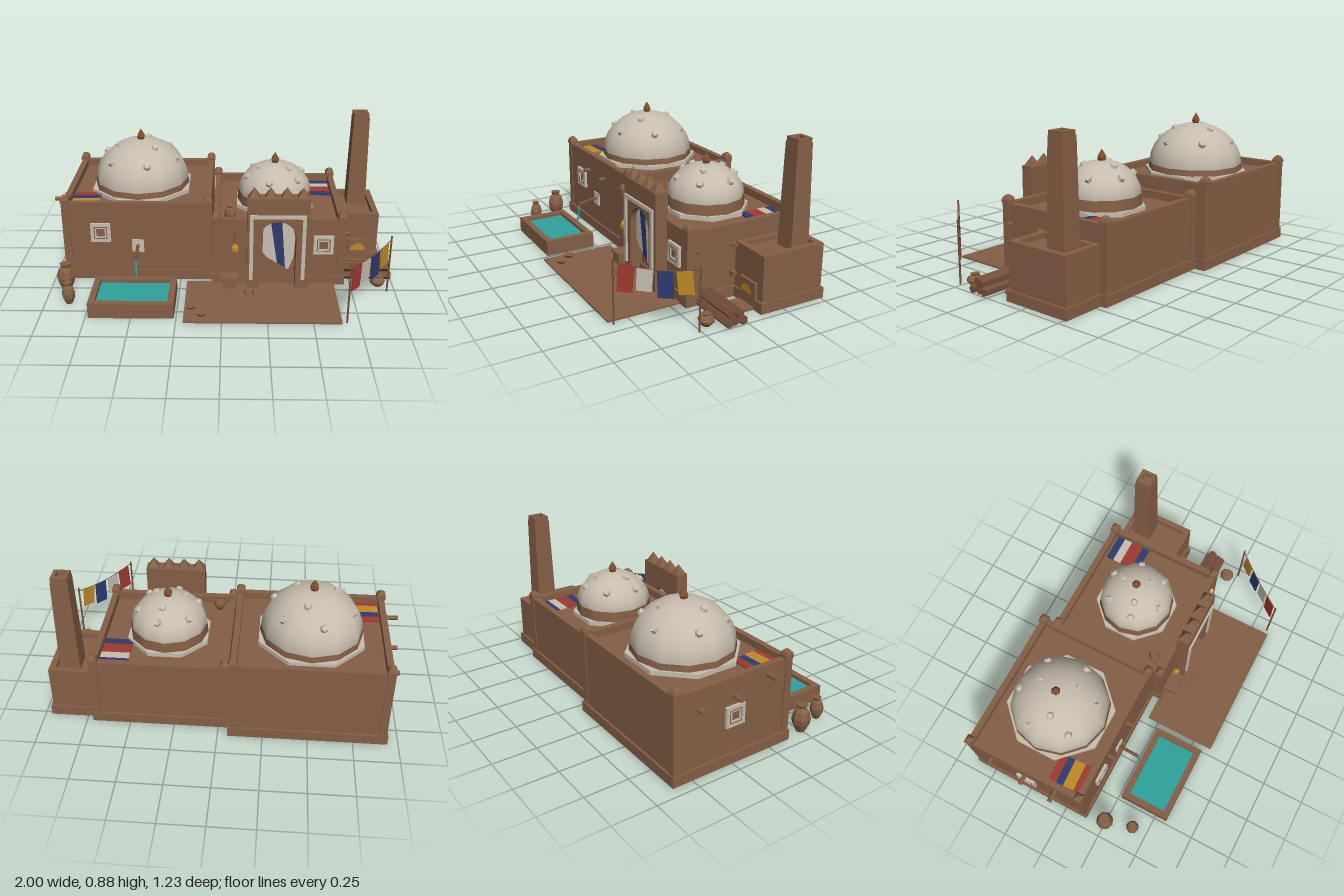
import * as THREE from 'three';

const mat = (name, color, side = THREE.FrontSide) => {
  const m = new THREE.MeshStandardMaterial({ color, side });
  m.name = name;
  return m;
};

export function createModel() {
  const root = new THREE.Group();
  root.name = 'desertHouse';
  const clay = mat('clay', 0x855f45), plaster = mat('plaster', 0xc6bdad), wood = mat('wood', 0x75503a);
  const rust = mat('rust', 0x80502f), darkWood = mat('dark wood', 0x4d3626), water = mat('water', 0x2fa39c);
  const red = mat('red cloth', 0xa03a30, THREE.DoubleSide), blue = mat('blue cloth', 0x2d3b70, THREE.DoubleSide);
  const gold = mat('gold cloth', 0xbd8a26, THREE.DoubleSide), white = mat('white cloth', 0xc6bfb2, THREE.DoubleSide);

  const add = (name, geo, m, x = 0, y = 0, z = 0, parent = root) => {
    const mesh = new THREE.Mesh(geo, m);
    mesh.name = name;
    mesh.position.set(x, y, z);
    parent.add(mesh);
    return mesh;
  };
  // Box given by its minimum and maximum on each axis
  const box = (name, m, x0, x1, y0, y1, z0, z1) =>
    add(name, new THREE.BoxGeometry(x1 - x0, y1 - y0, z1 - z0), m, (x0 + x1) / 2, (y0 + y1) / 2, (z0 + z1) / 2);
  // Faceted version of a geometry
  const facet = (g) => { const f = g.toNonIndexed(); f.computeVertexNormals(); return f; };
  // Rod between two points
  const rod = (name, m, a, b, r, sides = 6) => {
    const p = new THREE.Vector3(...a), q = new THREE.Vector3(...b), d = q.clone().sub(p);
    const mesh = add(name, facet(new THREE.CylinderGeometry(r, r, d.length(), sides)), m);
    mesh.position.copy(p).add(q).multiplyScalar(0.5);
    mesh.quaternion.setFromUnitVectors(new THREE.Vector3(0, 1, 0), d.normalize());
  };
  const polygon = (pts) => new THREE.Shape(pts.map(([x, y]) => new THREE.Vector2(x, y)));
  // Four walls around a rectangle
  const ring = (name, x0, x1, y0, y1, z0, z1, t) => {
    for (const [a, b, c, d] of [[x0, x1, z0, z0 + t], [x0, x1, z1 - t, z1],
      [x0, x0 + t, z0 + t, z1 - t], [x1 - t, x1, z0 + t, z1 - t]]) box(name, clay, a, b, y0, y1, c, d);
  };

  // Flat-roofed block with open plinth, parapet and optional corner posts
  function block(name, x0, x1, z0, z1, roof, top, post) {
    box(name + 'Wall', clay, x0, x1, 0.05, roof, z0, z1);
    ring(name + 'Plinth', x0 - 0.012, x1 + 0.012, 0, 0.06, z0 - 0.012, z1 + 0.012, 0.035);
    ring(name + 'Parapet', x0, x1, roof, top, z0, z1, 0.035);
    if (!post) return;
    for (const x of [x0 + 0.017, x1 - 0.017]) for (const z of [z0 + 0.017, z1 - 0.017]) {
      box(name + 'CornerPost', clay, x - 0.022, x + 0.022, 0, top, z - 0.022, z + 0.022);
      const cap = [[0.036, 0], [0.036, 0.015], [0.028, 0.03], [0.014, 0.041], [0, 0.044]];
      const geo = new THREE.LatheGeometry(cap.map((p) => new THREE.Vector2(...p)), 4).rotateY(Math.PI / 4);
      add(name + 'PostCap', facet(geo), clay, x, top, z);
    }
  }
  block('mainHouse', -0.928, -0.067, -0.605, 0.125, 0.45, 0.49, true);
  block('hall', -0.053, 0.703, -0.54, 0.18, 0.37, 0.415, true);
  block('ovenHouse', 0.7, 0.95, -0.505, -0.12, 0.285, 0.315, false);

  // Domes with octagonal skirt, drum, studs and finial
  function dome(x, z, r, roof, base, h, skirtRadius, phaseLow, phaseHigh) {
    const g = new THREE.Group();
    g.name = 'dome';
    g.position.set(x, 0, z);
    root.add(g);
    const skirt = facet(new THREE.CylinderGeometry(skirtRadius, skirtRadius, 0.025, 8).rotateY(Math.PI / 8));
    add('domeSkirt', skirt, plaster, 0, roof + 0.0125, 0, g);
    add('domeDrum', new THREE.CylinderGeometry(r, r + 0.008, base - roof, 12), clay, 0, (base + roof) / 2, 0, g);
    const shell = new THREE.SphereGeometry(r, 12, 7, 0, Math.PI * 2, 0, Math.PI / 2);
    shell.scale(1, h / r, 1);
    add('domeShell', shell, plaster, 0, base, 0, g);
    for (const [n, k, phase] of [[6, 0.8, phaseLow], [3, 0.46, phaseHigh]]) {
      for (let i = 0; i < n; i++) {
        const a = THREE.MathUtils.degToRad(phase + i * 360 / n), v = Math.sqrt(1 - k * k);
        const normal = new THREE.Vector3(Math.cos(a) * k / r, v / h, Math.sin(a) * k / r).normalize();
        const stud = add('domeStud', facet(new THREE.CylinderGeometry(0.017, 0.025, 0.024, 6)), plaster,
          Math.cos(a) * k * r, base + v * h, Math.sin(a) * k * r, g);
        stud.quaternion.setFromUnitVectors(new THREE.Vector3(0, 1, 0), normal);
      }
    }
    const tip = [[0.018, -0.01], [0.026, 0.015], [0.02, 0.03], [0, 0.062]].map((p) => new THREE.Vector2(...p));
    add('domeFinial', facet(new THREE.LatheGeometry(tip, 6)), rust, 0, base + h, 0, g);
  }
  dome(-0.498, -0.24, 0.282, 0.45, 0.51, 0.245, 0.313, -104, -75);
  dome(0.31, -0.177, 0.219, 0.37, 0.455, 0.178, 0.246, -77, -80);

  // Chimney with hollow top
  const stack = facet(new THREE.CylinderGeometry(0.048 * Math.SQRT2, 0.058 * Math.SQRT2, 0.57, 4).rotateY(Math.PI / 4));
  add('chimney', stack, clay, 0.84, 0.57, -0.39);
  ring('chimneyRim', 0.795, 0.885, 0.855, 0.88, -0.435, -0.345, 0.02);

  // Oven mouth with glowing arch and hearth
  box('ovenSurround', clay, 0.77, 0.905, 0.06, 0.15, -0.12, -0.105);
  add('ovenFire', new THREE.CircleGeometry(0.046, 12, 0, Math.PI), gold, 0.832, 0.078, -0.102);
  const hearth = polygon([[0.77, 0.11], [0.895, 0.11], [0.895, 0.02], [0.832, -0.015], [0.77, 0.02]]);
  add('hearth', new THREE.ExtrudeGeometry(hearth, { depth: 0.014, bevelEnabled: false }).rotateX(-Math.PI / 2), clay);

  // Entrance portal with arched recess
  const gate = polygon([[0.14, 0], [0.21, 0], [0.21, 0.33]]);
  gate.absarc(0.315, 0.33, 0.105, Math.PI, 0, true);
  for (const [x, y] of [[0.42, 0], [0.495, 0], [0.495, 0.575], [0.14, 0.575]]) gate.lineTo(x, y);
  add('portal', new THREE.ExtrudeGeometry(gate, { depth: 0.075, bevelEnabled: false, curveSegments: 12 }), clay, 0, 0, 0.177);
  for (let i = 0; i < 4; i++) {
    const spike = facet(new THREE.ConeGeometry(0.032 * Math.SQRT2, 0.058, 4).rotateY(Math.PI / 4));
    add('portalSpike', spike, clay, 0.178 + i * 0.0915, 0.604, 0.215);
  }
  for (const x of [0.154, 0.452]) box('portalTrim', plaster, x, x + 0.021, 0.07, 0.478, 0.25, 0.263);
  box('portalTrim', plaster, 0.175, 0.452, 0.457, 0.478, 0.25, 0.263);

  // Striped door curtain, drawn to one side
  const curtain = polygon([[0.23, 0.23], [0.232, 0.38], [0.27, 0.42], [0.315, 0.432], [0.36, 0.42], [0.4, 0.39],
    [0.415, 0.33], [0.41, 0.2], [0.38, 0.12], [0.32, 0.155], [0.255, 0.2]]);
  add('doorCurtain', new THREE.ShapeGeometry(curtain), white, 0, 0, 0.225);
  const stripe = polygon([[0.275, 0.42], [0.315, 0.432], [0.337, 0.428], [0.362, 0.133], [0.315, 0.16]]);
  add('curtainStripe', new THREE.ShapeGeometry(stripe), blue, 0, 0, 0.228);

  // Latticed windows: outer and inner frame around a clay screen
  function windowAt(x, y, z, turn) {
    const g = new THREE.Group();
    g.name = 'window';
    g.position.set(x, y, z);
    g.rotation.y = turn;
    root.add(g);
    for (const [outer, inner, m] of [[0.058, 0.039, plaster], [0.039, 0.033, clay], [0.033, 0.025, plaster]]) {
      const s = polygon([[-outer, -outer], [outer, -outer], [outer, outer], [-outer, outer]]);
      s.holes.push(polygon([[-inner, -inner], [-inner, inner], [inner, inner], [inner, -inner]]));
      add('windowFrame', new THREE.ExtrudeGeometry(s, { depth: 0.016, bevelEnabled: false }), m, 0, 0, 0, g);
    }
    add('windowScreen', new THREE.BoxGeometry(0.05, 0.05, 0.008), clay, 0, 0, 0.004, g);
  }
  windowAt(-0.712, 0.305, 0.125, 0);
  windowAt(0.583, 0.26, 0.18, 0);
  windowAt(-0.928, 0.28, -0.24, -Math.PI / 2);

  // Projecting roof beams
  for (const [z, y, x] of [[-0.46, 0.385, -0.975], [-0.24, 0.385, -0.985], [-0.035, 0.445, -1]])
    rod('sideBeam', clay, [-0.9, y, z], [x, y, z], 0.013);
  for (const x of [-0.605, -0.387]) rod('frontBeam', clay, [x, 0.383, 0.1], [x, 0.383, 0.165], 0.012);
  for (const z of [0.118, -0.1]) rod('hallBeam', clay, [0.68, 0.305, z], [0.735, 0.305, z], 0.013, 5);
  box('wallPeg', clay, 0.7, 0.73, 0.125, 0.152, -0.113, -0.086);

  // Fountain spout, basin and water
  box('spoutPlate', plaster, -0.532, -0.462, 0.18, 0.258, 0.125, 0.134);
  rod('spout', wood, [-0.498, 0.222, 0.13], [-0.498, 0.2, 0.257], 0.01);
  rod('waterJet', water, [-0.498, 0.2, 0.252], [-0.498, 0.088, 0.268], 0.006);
  ring('basinWall', -0.733, -0.262, 0, 0.09, 0.268, 0.572, 0.036);
  box('basinWater', water, -0.697, -0.298, 0.05, 0.068, 0.304, 0.536);
  box('basinFloor', darkWood, -0.697, -0.298, 0.03, 0.05, 0.304, 0.536);

  // Courtyard paving, bench and slippers
  box('courtyard', clay, -0.21, 0.655, 0, 0.01, 0.18, 0.615);
  box('benchSeat', clay, -0.01, 0.09, 0.065, 0.08, 0.19, 0.27);
  box('benchBody', clay, 0, 0.08, 0.01, 0.065, 0.19, 0.262);
  for (const x of [0.14, 0.186]) box('slipper', clay, x - 0.011, x + 0.011, 0.01, 0.024, 0.285, 0.335).rotation.y = 0.15;

  // Jars and bowls turned from one profile each
  const jarProfile = [[0, 0], [0.5, 0], [0.92, 0.3], [1, 0.5], [0.78, 0.75], [0.45, 0.88], [0.6, 1], [0, 1]];
  const bowlProfile = [[0, 0], [0.6, 0], [1, 1], [0, 0.85]];
  const turned = (name, profile, x, y, z, r, h, sides) => add(name,
    facet(new THREE.LatheGeometry(profile.map(([a, b]) => new THREE.Vector2(a * r, b * h)), sides)), clay, x, y, z);
  turned('tallJar', jarProfile, -0.91, 0, 0.25, 0.052, 0.163, 8);
  turned('smallJar', jarProfile, -0.865, 0, 0.412, 0.038, 0.13, 8);
  turned('squatJar', jarProfile, 0.91, 0, 0.193, 0.045, 0.066, 8);
  turned('roofJar', jarProfile, 0.042, 0.37, 0.083, 0.034, 0.09, 8);
  turned('bowl', bowlProfile, -0.172, 0.008, 0.472, 0.034, 0.018, 7);
  turned('bowl', bowlProfile, -0.115, 0.008, 0.543, 0.034, 0.018, 7);

  // Stacked logs
  for (const [z, y, x] of [[0.11, 0.022, 1], [0.067, 0.022, 0.99], [0.025, 0.022, 1], [0.09, 0.063, 0.985], [0.047, 0.063, 1]])
    rod('log', wood, [0.71, y, z], [x, y, z], 0.024, 5);

  // Hanging lantern
  rod('lanternBracket', wood, [0.072, 0.33, 0.17], [0.072, 0.33, 0.23], 0.006);
  rod('lanternCord', wood, [0.072, 0.33, 0.222], [0.072, 0.28, 0.222], 0.003);
  const lamp = [[0, 0], [0.015, 0], [0.023, 0.02], [0.021, 0.042], [0, 0.066]].map((p) => new THREE.Vector2(...p));
  add('lantern', facet(new THREE.LatheGeometry(lamp, 6)), gold, 0.072, 0.222, 0.222);

  // Striped rugs on the roofs
  const rug = (x, y, z0, w, bands, turn) => {
    const g = new THREE.Group();
    g.name = 'roofRug';
    g.position.set(x, y, z0);
    g.rotation.y = turn;
    root.add(g);
    let z = 0;
    for (const [m, d] of bands) { add('rugBand', new THREE.BoxGeometry(w, 0.008, d), m, 0, 0, z + d / 2, g); z += d; }
  };
  rug(-0.812, 0.456, -0.1, 0.16, [[red, 0.045], [blue, 0.042], [gold, 0.065], [red, 0.033]], 0.05);
  rug(0.585, 0.376, -0.49, 0.16, [[blue, 0.045], [white, 0.05], [red, 0.077], [blue, 0.045]], 0);

  // Line of cloths hung between two poles
  const a = new THREE.Vector3(0.682, 0.345, 0.595), b = new THREE.Vector3(0.955, 0.335, 0.26);
  for (const p of [a, b]) rod('linePole', wood, [p.x, 0, p.z], [p.x, 0.355, p.z], 0.0055);
  const line = new THREE.QuadraticBezierCurve3(a, new THREE.Vector3(0.82, 0.29, 0.428), b);
  add('clothesLine', new THREE.TubeGeometry(line, 12, 0.0025, 5), wood);
  [[red, 0.155, 0.145, -0.07], [white, 0.37, 0.12, -0.04], [blue, 0.6, 0.145, 0.03], [gold, 0.82, 0.125, 0.1]].forEach(([m, t, h, tilt]) => {
    const p = line.getPoint(t), cloth = new THREE.BoxGeometry(0.08, h, 0.008);
    cloth.translate(0, -h / 2, 0).rotateZ(tilt);
    add('hangingCloth', cloth, m, p.x, p.y, p.z).rotation.y = Math.atan2(a.z - b.z, b.x - a.x);
  });
  return root;
}
